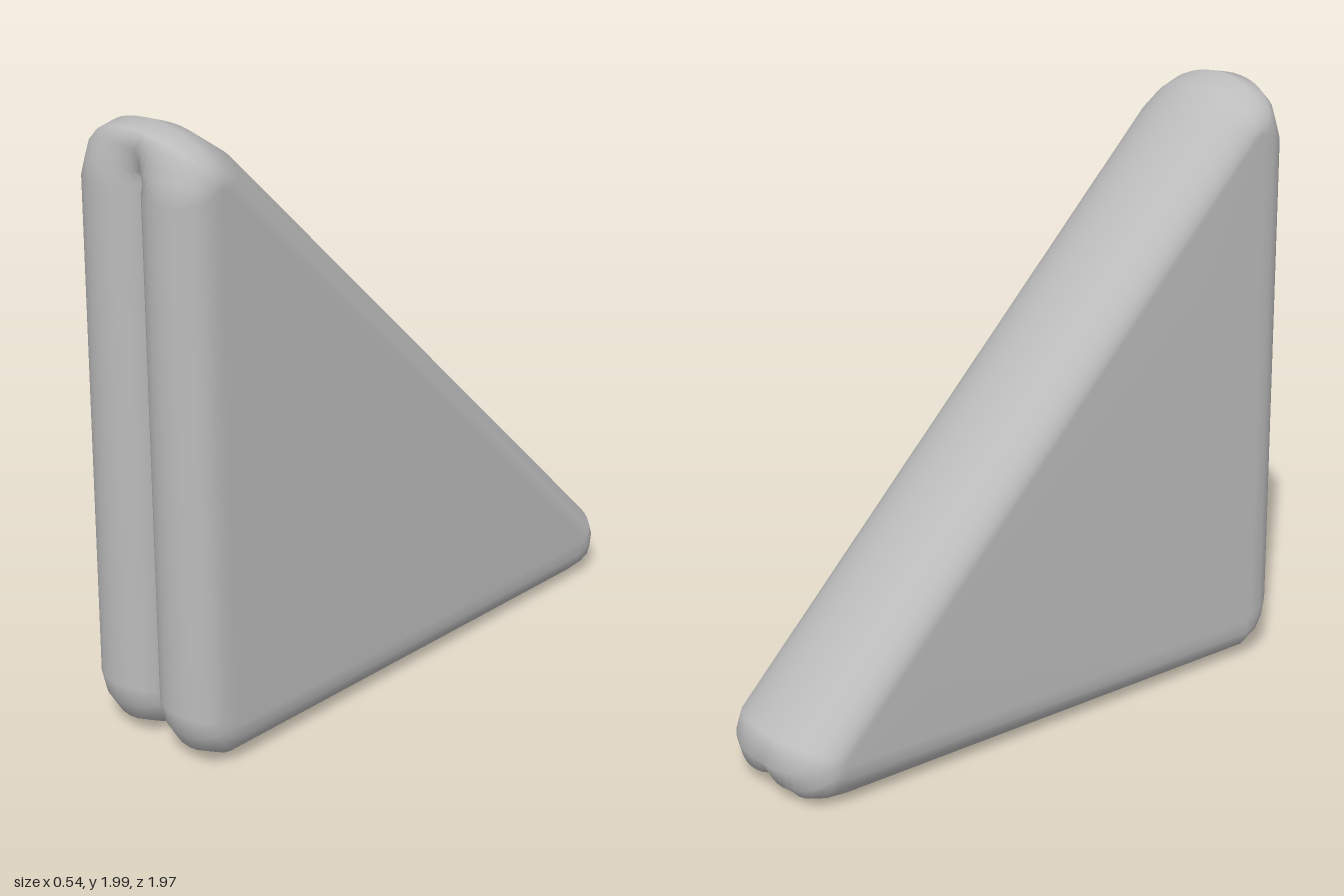
import * as THREE from 'three';

const grey = new THREE.MeshStandardMaterial({ color: 0xbcbcbc });
grey.name = 'plain grey';

// Side outline: [z, y, fold weight]. Weight 1 = rounded fold, 0 = open edge with a crease.
// Grouped by the core corner that each run of points rounds over.
const corners = [
  { core: [0.84, 0.16], points: [[0.85, 0.012, 0], [0.93, 0.055, 0], [0.97, 0.12, 0], [0.99, 0.2, 0]] },
  { core: [0.84, 1.83], points: [[0.99, 1.8, 0], [0.99, 1.87, 0.45], [0.98, 1.95, 0.8], [0.95, 1.985, 1],
    [0.88, 2, 1], [0.8, 1.97, 1], [0.68, 1.885, 1]] },
  { core: [-0.81, 0.16], points: [[-0.96, 0.21, 1], [-0.99, 0.12, 0.95], [-0.965, 0.04, 0.8],
    [-0.93, 0.01, 0.5], [-0.87, 0.005, 0.2], [-0.78, 0.006, 0]] },
];
const STEPS = 12; // rings per half

// The slab grows slightly thicker away from the fold
const widen = (z, y) => 1 + 0.075 * THREE.MathUtils.clamp((1.19 + 1.02 * z - y) / 2, 0, 1);

function foldedSlab() {
  const outline = corners.flatMap(({ core, points }) => points.map((p) => ({ core, p })));
  const count = outline.length;
  const pos = [];
  const index = [];

  // Rings run from the left face over the rim and crease to the right face
  for (let i = 0; i <= 2 * STEPS; i++) {
    const side = i <= STEPS ? 1 : -1;
    const t = Math.PI * (i <= STEPS ? i : 2 * STEPS - i) / STEPS;
    for (const { core, p: [z, y, w] } of outline) {
      const openX = 0.125 + 0.125 * Math.cos(t);
      const openS = Math.pow(Math.max(Math.sin(t), 0), 0.8);
      const foldX = 0.25 * Math.cos(t / 2);
      const foldS = Math.sin(t / 2);
      const s = 0.08 + 0.92 * THREE.MathUtils.lerp(openS, foldS, w);
      const pz = THREE.MathUtils.lerp(core[0], z, s);
      const py = THREE.MathUtils.lerp(core[1], y, s);
      const x = THREE.MathUtils.lerp(openX, foldX, w) * widen(pz, py);
      pos.push(side * x, py, pz);
    }
  }
  for (let i = 0; i < 2 * STEPS; i++) {
    for (let j = 0; j < count; j++) {
      const k = (j + 1) % count;
      const a = i * count + j, b = i * count + k;
      index.push(a, b, a + count, b, b + count, a + count);
    }
  }

  // Flat side faces
  const cz = 0.3, cy = 0.7, cx = 0.25 * widen(cz, cy);
  const left = pos.length / 3;
  pos.push(cx, cy, cz, -cx, cy, cz);
  const last = 2 * STEPS * count;
  for (let j = 0; j < count; j++) {
    const k = (j + 1) % count;
    index.push(left, k, j, left + 1, last + j, last + k);
  }

  const geometry = new THREE.BufferGeometry();
  geometry.setAttribute('position', new THREE.Float32BufferAttribute(pos, 3));
  geometry.setIndex(index);
  geometry.computeVertexNormals();
  return geometry;
}

export function createModel() {
  const group = new THREE.Group();
  group.name = 'foldedTriangle';
  const slab = new THREE.Mesh(foldedSlab(), grey);
  slab.name = 'foldedSlab';
  group.add(slab);
  return group;
}
